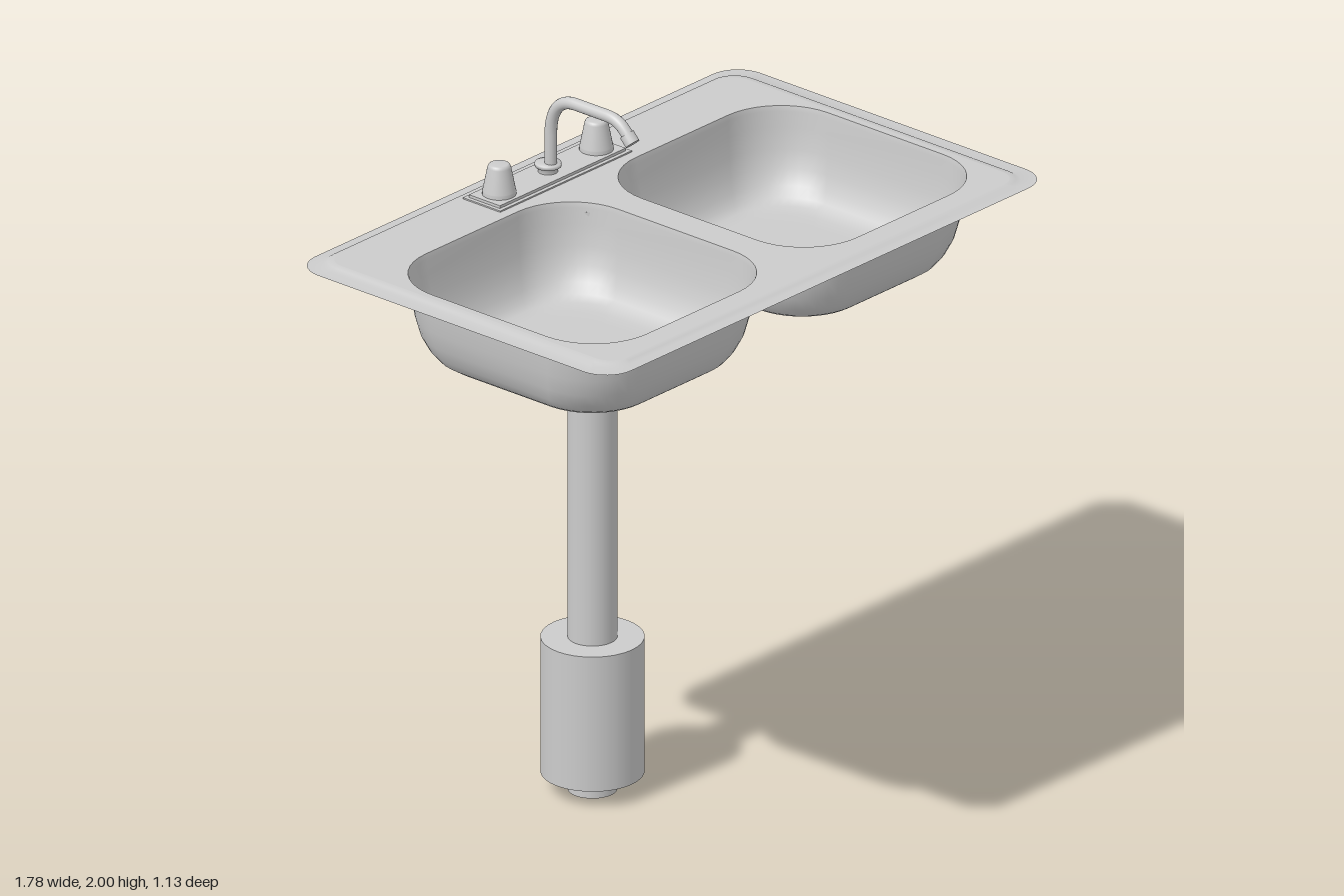
import * as THREE from 'three';

const grey = new THREE.MeshStandardMaterial({ color: 0xcccccc });
const sheet = new THREE.MeshStandardMaterial({ color: 0xcccccc, side: THREE.DoubleSide });

// Outline of a rounded rectangle as [x, z] pairs
function roundedRect(cx, cz, hw, hd, r, n = 10) {
  const pts = [];
  [[1, 1], [-1, 1], [-1, -1], [1, -1]].forEach(([sx, sz], q) => {
    for (let k = 0; k <= n; k++) {
      const a = (q + k / n) * Math.PI / 2;
      pts.push([cx + sx * (hw - r) + r * Math.cos(a), cz + sz * (hd - r) + r * Math.sin(a)]);
    }
  });
  return pts;
}

// Skin a stack of rounded rectangles; each ring is { y, pts }
function loft(rings, cap) {
  const n = rings[0].pts.length, pos = [], idx = [];
  rings.forEach(({ y, pts }) => pts.forEach(([x, z]) => pos.push(x, y, z)));
  for (let i = 0; i < rings.length - 1; i++) {
    for (let j = 0; j < n; j++) {
      const a = i * n + j, b = i * n + (j + 1) % n;
      idx.push(a, a + n, b, b, a + n, b + n);
    }
  }
  if (cap) {
    const last = (rings.length - 1) * n;
    pos.push(...cap);
    for (let j = 0; j < n; j++) idx.push(last + j, rings.length * n, last + (j + 1) % n);
  }
  const g = new THREE.BufferGeometry();
  g.setAttribute('position', new THREE.Float32BufferAttribute(pos, 3));
  g.setIndex(idx);
  g.computeVertexNormals();
  return g;
}

export function createModel() {
  const model = new THREE.Group();
  const add = (name, geo, mat, x = 0, y = 0, z = 0) => {
    const m = new THREE.Mesh(geo, mat);
    m.name = name;
    m.position.set(x, y, z);
    model.add(m);
    return m;
  };
  const deckY = 1.746;
  const bowls = [
    { name: 'rightBowl', x: -0.424 },
    { name: 'leftBowl', x: 0.424 },
  ];
  const bowlZ = 0.055, bowlW = 0.376, bowlD = 0.396, bowlR = 0.19;

  // Flat deck with two openings
  const toShape = (pts, Type) => new Type(pts.map(([x, z]) => new THREE.Vector2(x, -z)));
  const deck = toShape(roundedRect(0, 0, 0.82, 0.515, 0.06), THREE.Shape);
  bowls.forEach(b => deck.holes.push(
    toShape(roundedRect(b.x, bowlZ, bowlW, bowlD, bowlR), THREE.Path)));
  add('deck', new THREE.ShapeGeometry(deck).rotateX(-Math.PI / 2), sheet, 0, deckY, 0);

  // Rolled edge, flattening to a thin flange
  const edge = [[0.82, 0.515, 0.06, deckY], [0.838, 0.528, 0.07, 1.744],
    [0.85, 0.538, 0.075, 1.737], [0.892, 0.566, 0.09, 1.736]];
  add('rimEdge', loft(edge.map(([w, d, r, y]) => ({ y, pts: roundedRect(0, 0, w, d, r) }))), sheet);

  // Bowls: [inset, depth] down the wall and into the floor
  const wall = [[0, 0], [0.003, 0.015], [0.006, 0.06], [0.014, 0.12], [0.025, 0.17],
    [0.042, 0.21], [0.06, 0.236], [0.08, 0.25], [0.11, 0.256], [0.16, 0.257]];
  bowls.forEach(b => add(b.name, loft(
    wall.map(([i, d]) => ({
      y: deckY - d,
      pts: roundedRect(b.x, bowlZ, bowlW - i, bowlD - i, bowlR - i * 0.3),
    })), [b.x, deckY - 0.257, bowlZ]), sheet));

  // Drain pipe and the wide canister around its lower end
  const px = -0.017, pz = -0.27;
  add('pipe', new THREE.CylinderGeometry(0.067, 0.067, 1.72, 32), grey, px, 0.86, pz);
  add('canister', new THREE.CylinderGeometry(0.14, 0.14, 0.395, 32), grey, px, 0.25, pz);

  // Faucet plate on a thin flange
  const fx = -0.008, fz = -0.44;
  add('plateFlange', new THREE.BoxGeometry(0.531, 0.004, 0.134), grey, fx, deckY + 0.002, fz);
  add('faucetPlate', new THREE.BoxGeometry(0.508, 0.012, 0.111), grey, fx, deckY + 0.006, fz);

  // Turned parts
  const lathe = pts => new THREE.LatheGeometry(pts.map(p => new THREE.Vector2(...p)), 32);
  const knob = [[0.046, 0], [0.046, 0.012], [0.045, 0.014], [0.032, 0.08], [0.029, 0.087], [0.024, 0.09], [0, 0.09]];
  [['rightKnob', -0.202], ['leftKnob', 0.19]].forEach(([name, x]) =>
    add(name, lathe(knob), grey, x, 1.756, fz));
  const collar = [[0.027, 0], [0.027, 0.017], [0.036, 0.018], [0.036, 0.028], [0.02, 0.03], [0, 0.03]];
  add('spoutCollar', lathe(collar), grey, -0.005, 1.756, fz);

  // Curved spout
  const path = new THREE.CurvePath();
  const v = (y, z) => new THREE.Vector3(-0.005, y, z);
  path.add(new THREE.LineCurve3(v(1.77, fz + 0.01), v(1.87, fz + 0.01)));
  path.add(new THREE.CubicBezierCurve3(v(1.87, -0.43), v(1.94, -0.43), v(1.983, -0.4), v(1.983, -0.34)));
  path.add(new THREE.LineCurve3(v(1.983, -0.34), v(1.983, -0.23)));
  path.add(new THREE.CubicBezierCurve3(v(1.983, -0.23), v(1.983, -0.19), v(1.97, -0.175), v(1.945, -0.152)));
  add('spout', new THREE.TubeGeometry(path, 60, 0.017, 16), sheet);

  // Nozzle in line with the end of the spout
  const nozzle = add('nozzle', new THREE.CylinderGeometry(0.021, 0.021, 0.03, 20), grey, -0.005, 1.938, -0.147);
  nozzle.quaternion.setFromUnitVectors(new THREE.Vector3(0, 1, 0), new THREE.Vector3(0, 0.74, -0.68).normalize());
  return model;
}
